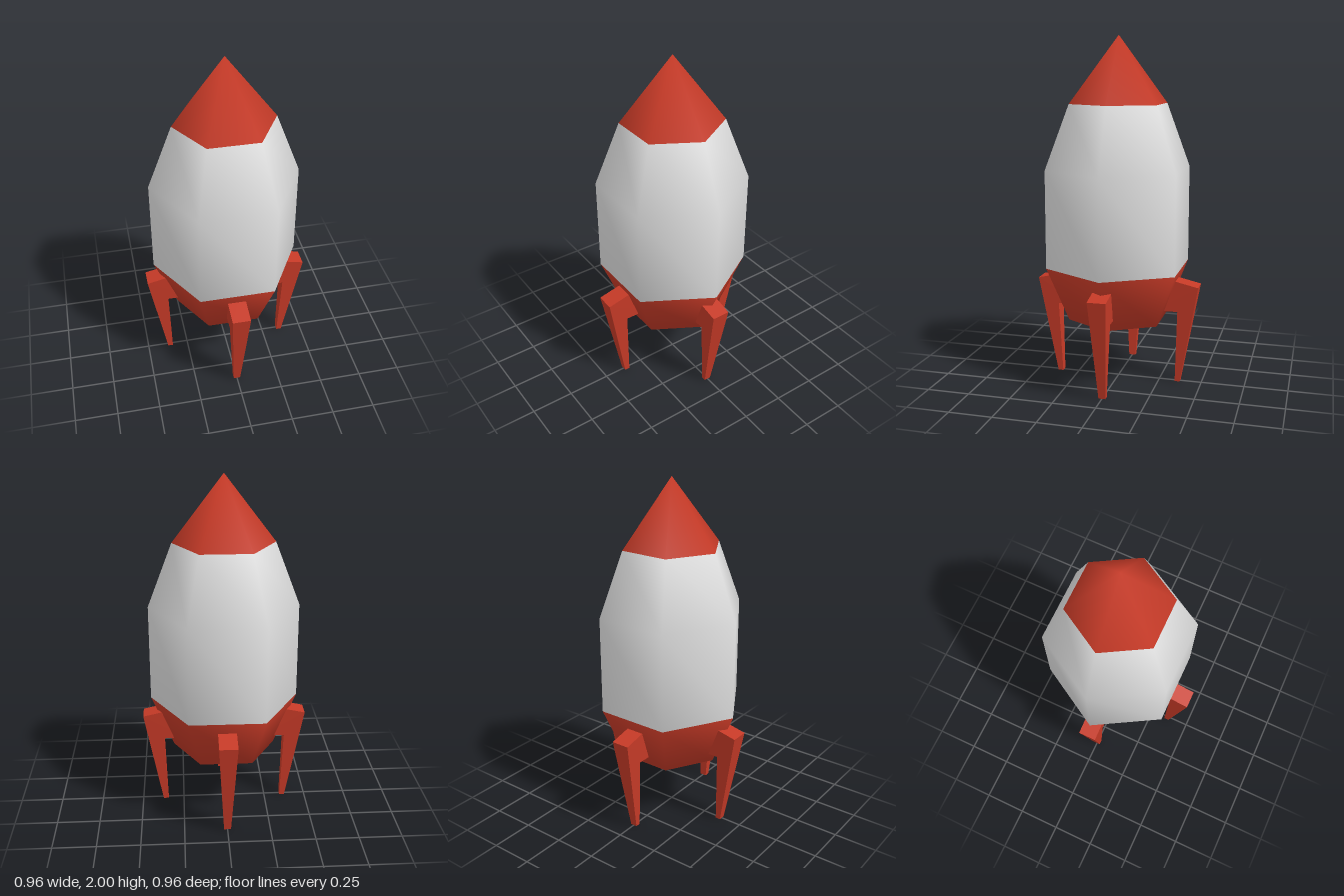
import * as THREE from 'three';
import { mergeVertices } from 'three/addons/utils/BufferGeometryUtils.js';

const SIDES = 6;

// Six-sided hull, smooth across all bands; one material index per profile band
function hullGeometry(profile, bandMaterials) {
  const points = profile.map(([r, y]) => new THREE.Vector2(r, y));
  let geo = new THREE.LatheGeometry(points, SIDES, Math.PI / 2);
  geo.deleteAttribute('normal');
  geo.deleteAttribute('uv');
  geo = mergeVertices(geo);
  const source = Array.from(geo.index.array);
  const bands = profile.length - 1;
  const index = [];
  for (let band = 0; band < bands; band++) {
    geo.addGroup(index.length, SIDES * 6, bandMaterials[band]);
    for (let side = 0; side < SIDES; side++) {
      const start = (side * bands + band) * 6;
      index.push(...source.slice(start, start + 6));
    }
  }
  geo.setIndex(index);
  geo.computeVertexNormals();
  return geo;
}

// Landing leg: side outline extruded, then narrowed towards the foot
function legGeometry() {
  const outline = [
    [0.345, 0], [0.375, 0], [0.48, 0.585], [0.25, 0.637], [0.22, 0.432], [0.36, 0.432],
  ].map(([x, y]) => new THREE.Vector2(x, y));
  const geo = new THREE.ExtrudeGeometry(new THREE.Shape(outline), { depth: 2, bevelEnabled: false });
  geo.translate(0, 0, -1);
  const pos = geo.attributes.position;
  for (let i = 0; i < pos.count; i++) {
    const halfWidth = 0.02 + 0.033 * Math.min(1, pos.getY(i) / 0.585);
    pos.setZ(i, pos.getZ(i) * halfWidth);
  }
  geo.computeVertexNormals();
  return geo;
}

export function createModel() {
  const red = new THREE.MeshStandardMaterial({ color: 0xc63a27 });
  red.name = 'red paint';
  const white = new THREE.MeshStandardMaterial({ color: 0xe0e0e0 });
  white.name = 'white paint';

  const rocket = new THREE.Group();
  rocket.name = 'rocket';

  // Hull: flat base, red tail, white body and shoulder, red nose
  const profile = [[0, 0.37], [0.3, 0.37], [0.432, 0.685], [0.432, 1.25], [0.29, 1.62], [0, 2]];
  const hull = new THREE.Mesh(hullGeometry(profile, [0, 0, 1, 1, 0]), [red, white]);
  hull.name = 'hull';
  rocket.add(hull);

  // Four legs around the tail
  const leg = legGeometry();
  ['leftLeg', 'backLeg', 'rightLeg', 'frontLeg'].forEach((name, i) => {
    const mesh = new THREE.Mesh(leg, red);
    mesh.name = name;
    mesh.rotation.y = (i * Math.PI) / 2;
    rocket.add(mesh);
  });

  return rocket;
}
